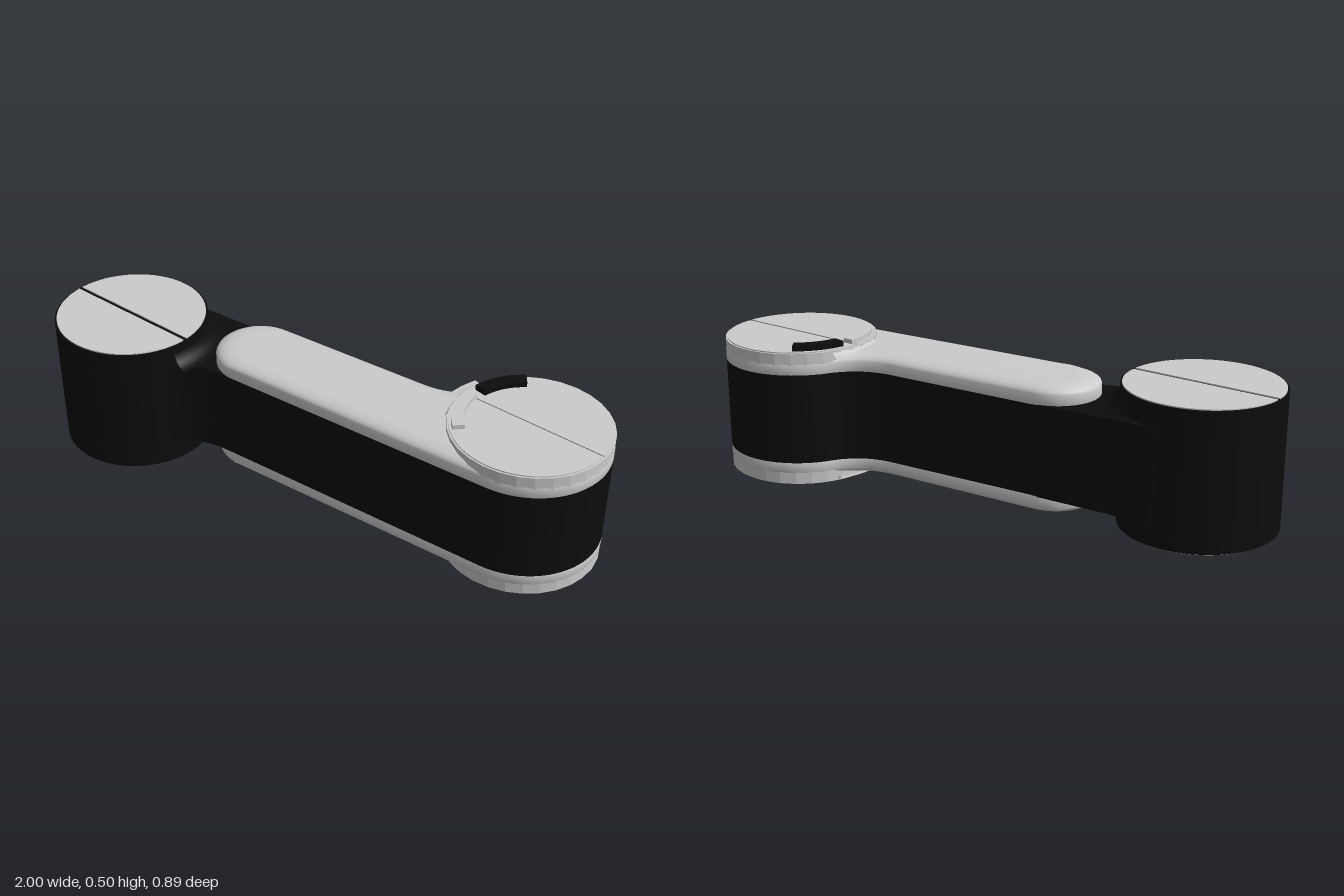
import * as THREE from 'three';
import { toCreasedNormals } from 'three/addons/utils/BufferGeometryUtils.js';

const MID = 0.243, TOP = 0.486, BAND = 0.405, R = 0.271;
const LEFT = [-0.729, -0.175], RIGHT = [0.728, 0.175]; // hub centres in plan (x, -z)
const rad = THREE.MathUtils.degToRad;

const grey = new THREE.MeshStandardMaterial({ color: 0xcccccc });
const facetGrey = new THREE.MeshStandardMaterial({ color: 0xcccccc, flatShading: true });
const black = new THREE.MeshStandardMaterial({ color: 0x0c0c0c });
const blackOpen = new THREE.MeshStandardMaterial({ color: 0x0c0c0c, side: THREE.DoubleSide });
const greyOpen = new THREE.MeshStandardMaterial({ color: 0xcccccc, side: THREE.DoubleSide });

function add(parent, name, geometry, material) {
  const mesh = new THREE.Mesh(geometry, material);
  mesh.name = name;
  parent.add(mesh);
  return mesh;
}

// Extrude a plan outline upwards from y0 to y1, optionally with a rounded upper edge
function slab(shape, y0, y1, bevel) {
  const t = bevel ? bevel.thickness : 0;
  const geo = new THREE.ExtrudeGeometry(shape, {
    depth: y1 - y0 - t, curveSegments: 40, bevelEnabled: !!bevel,
    bevelThickness: t, bevelSize: bevel ? bevel.size : 0,
    bevelOffset: bevel ? -bevel.size : 0, bevelSegments: 5,
  });
  geo.rotateX(-Math.PI / 2).translate(0, y0, 0);
  return toCreasedNormals(geo, rad(35));
}

function cylinder([x, y], r, y0, y1, sides) {
  return new THREE.CylinderGeometry(r, r, y1 - y0, sides).translate(x, (y0 + y1) / 2, -y);
}

// Concave fillet around part of a hub, from plan angle a0 to a1 in degrees
function fillet([x, y], yLow, yHigh, width, a0, a1) {
  const profile = [];
  for (let i = 0; i <= 6; i++) {
    const t = (i / 6) * Math.PI / 2;
    profile.push(new THREE.Vector2(R - 0.002 + width * (1 - Math.sin(t)), yLow + (yHigh - yLow) * (1 - Math.cos(t))));
  }
  return new THREE.LatheGeometry(profile, 20, rad(90 + a0), rad(a1 - a0)).translate(x, 0, -y);
}

// Ring segment in plan
function arcShape([x, y], inner, outer, a0, a1) {
  const s = new THREE.Shape();
  s.absarc(x, y, outer, rad(a0), rad(a1), false);
  s.absarc(x, y, inner, rad(a1), rad(a0), true);
  return s;
}

// Two half discs with a fine slot between them
function splitDisc(parent, name, [x, y], r) {
  for (const side of [0, 1]) {
    const s = new THREE.Shape();
    s.absarc(x, y, r, rad(side * 180 + 1.6), rad(side * 180 + 178.4), false);
    add(parent, name, slab(s, TOP - 0.005, TOP), grey);
  }
}

// Shared run of the arm outline: back edge, blend into the right hub, around it to the front edge
function armOutline(s) {
  s.lineTo(0.30, 0.18);
  s.bezierCurveTo(0.39, 0.187, 0.45, 0.23, 0.487, 0.297);
  s.absarc(RIGHT[0], RIGHT[1], R, rad(153), rad(-86), true);
}

export function createModel() {
  const model = new THREE.Group();
  model.name = 'crankArm';

  // Dark core: tall hub and the band running through the arm
  add(model, 'tallHub', cylinder(LEFT, R, 0.004, TOP - 0.004, 64), black);
  const band = new THREE.Shape();
  band.moveTo(-0.71, 0.098);
  armOutline(band);
  band.lineTo(-0.30, -0.169);
  band.bezierCurveTo(-0.38, -0.175, -0.43, -0.20, -0.468, -0.262);
  band.lineTo(-0.71, -0.20);
  add(model, 'armBand', slab(band, 2 * MID - BAND, BAND), black);

  // Everything on the upper face, mirrored below
  const upper = new THREE.Group();
  upper.name = 'upperSide';
  splitDisc(upper, 'tallHubFace', LEFT, 0.264);
  add(upper, 'tallHubFillet', fillet(LEFT, BAND, 0.465, 0.06, -12, 62), blackOpen);

  const plate = new THREE.Shape();
  plate.moveTo(-0.27, 0.135);
  armOutline(plate);
  plate.lineTo(-0.27, -0.167);
  plate.absarc(-0.262, -0.016, 0.151, rad(-93), rad(-266), true);
  add(upper, 'armPlate', slab(plate, BAND, 0.468, { thickness: 0.028, size: 0.08 }), grey);

  add(upper, 'endCap', cylinder(RIGHT, R, BAND, TOP - 0.004, 30), facetGrey);
  add(upper, 'endCapFillet', fillet(RIGHT, 0.46, TOP - 0.006, 0.05, 158, 205), greyOpen);
  splitDisc(upper, 'endCapFace', RIGHT, 0.264);
  model.add(upper);

  const lower = upper.clone();
  lower.name = 'lowerSide';
  lower.scale.y = -1;
  lower.position.y = 2 * MID;
  model.add(lower);

  // Raised curved marks on the end cap
  add(model, 'darkMark', slab(arcShape(RIGHT, 0.205, 0.25, 127, 170), TOP - 0.002, 0.505), black);
  add(model, 'paleMark', slab(arcShape(RIGHT, 0.215, 0.255, 178, 226), TOP - 0.002, 0.502), grey);
  return model;
}
